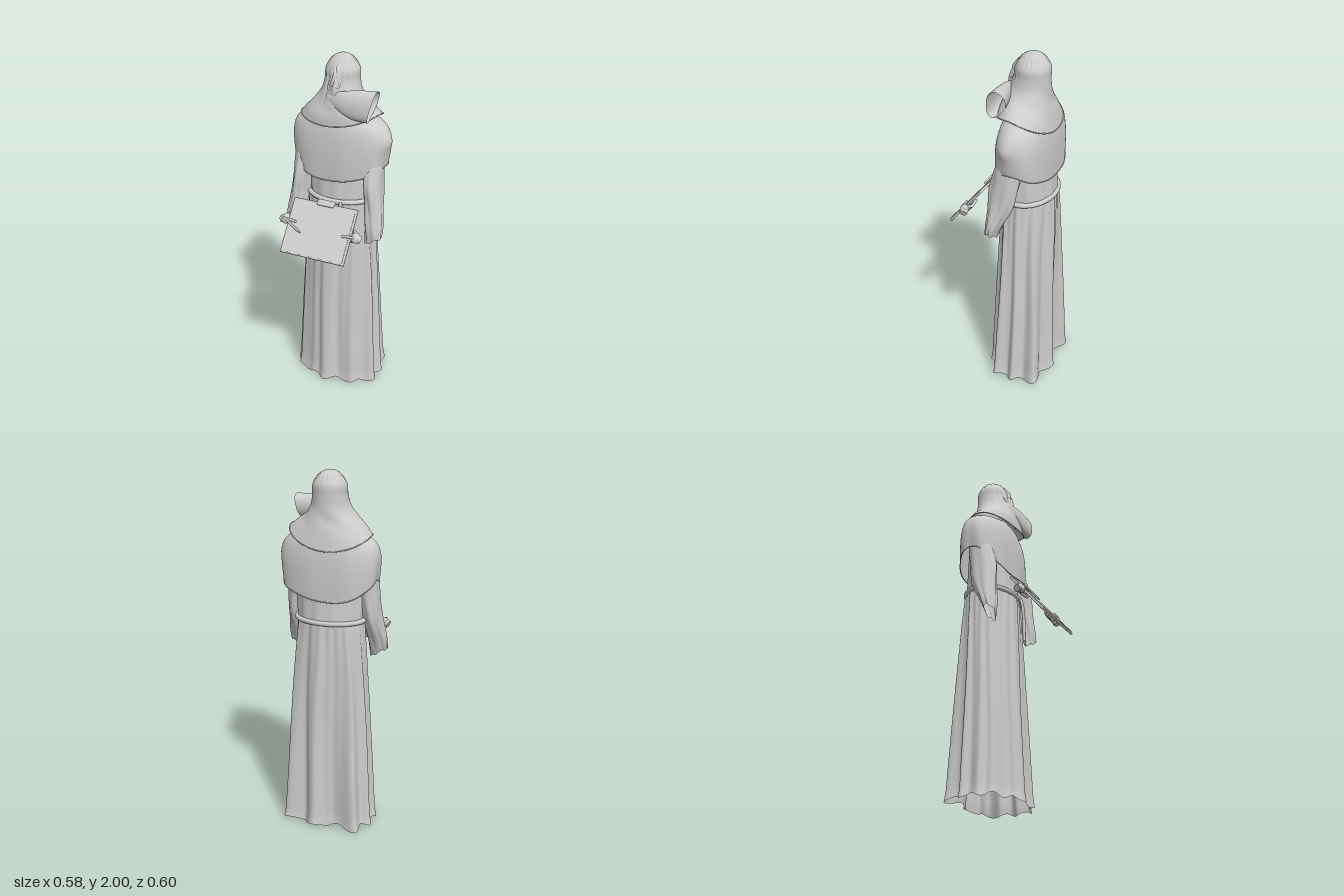
import * as THREE from 'three';
import { RoundedBoxGeometry } from 'three/addons/geometries/RoundedBoxGeometry.js';

const grey = new THREE.MeshStandardMaterial({ color: 0xcccccc, side: THREE.DoubleSide });
grey.name = 'plain grey';

const bump = (x, c, w) => Math.exp(-(((x - c) / w) ** 2));
const wrap = (a) => Math.atan2(Math.sin(a), Math.cos(a));

function add(parent, name, geometry) {
  const mesh = new THREE.Mesh(geometry, grey);
  mesh.name = name;
  parent.add(mesh);
  return mesh;
}

// Superellipse direction: n = 2 is round, larger is boxier
function oval(a, n) {
  const s = Math.sin(a), c = Math.cos(a);
  const k = (Math.abs(s) ** n + Math.abs(c) ** n) ** (-1 / n);
  return [s * k, c * k];
}

// Smooth skin of closed rings; point(a, v) gives [x, y, z], a = 0 at the front, v rising 0..1
function loft(rows, segs, point) {
  const pos = [], idx = [];
  for (let i = 0; i <= rows; i++)
    for (let j = 0; j < segs; j++) {
      pos.push(...point((j / segs) * Math.PI * 2, i / rows));
      if (i === rows) continue;
      const a = i * segs + j, b = i * segs + ((j + 1) % segs);
      idx.push(a, b, b + segs, a, b + segs, a + segs);
    }
  const g = new THREE.BufferGeometry();
  g.setAttribute('position', new THREE.Float32BufferAttribute(pos, 3));
  g.setIndex(idx);
  g.computeVertexNormals();
  return g;
}

// Cubic blend through a list of cross-sections
function sections(list) {
  const n = list.length - 1, size = list[0].length;
  const curve = new THREE.CubicInterpolant(list.map((_, i) => i / n), list.flat(), size);
  return (v) => [...curve.evaluate(v)];
}

function tube(points, radius, segs = 32, closed = false) {
  const path = new THREE.CatmullRomCurve3(points.map((p) => new THREE.Vector3(...p)), closed);
  return new THREE.TubeGeometry(path, segs, radius, 10, closed);
}

// Closed cord following point(a)
const cord = (point, radius) =>
  tube(Array.from({ length: 48 }, (_, i) => point((i / 48) * Math.PI * 2)), radius, 144, true);

// Rounded rod between two points
function rod(parent, name, from, to, radius, geometry) {
  const a = new THREE.Vector3(...from), b = new THREE.Vector3(...to), d = b.clone().sub(a);
  const mesh = add(parent, name, geometry || new THREE.CapsuleGeometry(radius, d.length(), 5, 10));
  mesh.position.copy(a).add(b).multiplyScalar(0.5);
  mesh.quaternion.setFromUnitVectors(new THREE.Vector3(0, 1, 0), d.normalize());
  return mesh;
}

function addRobe(root) {
  // Skirt pleats as [angle, height at the hem], fading toward the waist
  const pleats = [
    [-2.37, 0.085], [-1.85, 0.055], [-1.38, 0.05], [-0.98, 0.045], [-0.55, 0.022], [-0.1, 0.04],
    [0.6, 0.035], [1.18, 0.06], [1.75, 0.05], [2.33, 0.088], [2.98, 0.055],
  ];
  add(root, 'skirt', loft(40, 264, (a, v) => {
    const w = 1 - v, turn = a + 0.06 * Math.sin(5 * v + 2 * a) * v;
    const [s, c] = oval(a, 2 + 0.3 * w);
    let out = 0.0025 * Math.sin(23 * turn) * (1 - 0.4 * w);
    for (const [angle, height] of pleats) out += height * (0.1 + 0.9 * w ** 0.8) * bump(wrap(turn - angle), 0, 0.21);
    out += 0.006 * bump(v, 0, 0.03);
    return [s * (0.181 + 0.027 * w) + Math.sin(a) * out + 0.005 * w, 1.2 * v + 0.01 * (1 + Math.sin(11 * a)) * bump(v, 0, 0.02),
      -0.112 + 0.017 * w + c * (0.138 + 0.01 * w) + Math.cos(a) * out];
  }));

  // Torso with faint vertical creases
  const body = sections([[1.18, 0.181, 0.138], [1.28, 0.188, 0.13], [1.42, 0.19, 0.122], [1.56, 0.18, 0.11], [1.66, 0.12, 0.09]]);
  add(root, 'torso', loft(16, 96, (a, v) => {
    const [y, rx, rz] = body(v), r = 1 + 0.018 * (1 - v) * Math.sin(13 * a);
    return [Math.sin(a) * rx * r, y, -0.115 + Math.cos(a) * rz * r];
  }));

  // Rope belt and its hanging end
  add(root, 'belt', cord((a) => [Math.sin(a) * 0.19, 1.205, -0.112 + Math.cos(a) * 0.141], 0.014));
  add(root, 'beltEnd', tube([[0.055, 1.21, 0.032], [0.058, 1.17, 0.046], [0.06, 1.08, 0.054], [0.062, 0.935, 0.056]], 0.009));
}

function addSleeves(root) {
  const arm = sections([
    [1.0, 0.242, 0.005, 0.047, 0.028], [1.08, 0.235, -0.013, 0.05, 0.046], [1.2, 0.22, -0.045, 0.05, 0.07],
    [1.32, 0.208, -0.062, 0.052, 0.08], [1.45, 0.2, -0.085, 0.052, 0.07], [1.58, 0.185, -0.11, 0.045, 0.055],
  ]);
  for (const side of [-1, 1])
    add(root, side > 0 ? 'leftSleeve' : 'rightSleeve', loft(36, 96, (a, v) => {
      const [y, cx, cz, rx, rz] = arm(v), w = (1 - v) ** 0.9, t = a * side;
      const pleat = 0.16 * w * (Math.abs(Math.sin(3.5 * t + 0.6)) - 0.55);
      const r = 1 + pleat + 0.035 * Math.sin(3 * t + 14 * v);
      const hem = (0.028 * Math.sin(t) + 0.006 * Math.sin(5 * t)) * bump(v, 0, 0.2);
      return [side * cx + Math.sin(a) * rx * r, y + hem, cz + Math.cos(a) * rz * r];
    }));
}

function addCape(root) {
  // Shoulder cape: hem drops at the front and back and lifts over the arms
  const cape = sections([
    [0, 0.264, 0.14], [0.25, 0.274, 0.142], [0.5, 0.277, 0.14], [0.72, 0.257, 0.132], [0.88, 0.2, 0.118], [1, 0.1, 0.09],
  ]);
  const point = (a, v) => {
    const [t, rx, rz] = cape(v), [s, c] = oval(a, 2.55 - 0.5 * t);
    const hem = 1.325 + 0.1 * Math.abs(Math.sin(a)) ** 2.5 + 0.008 * Math.sin(3 * a);
    const y = hem + (1.7 - hem) * t;
    const r = 1 + 0.01 * (1 - t) * Math.sin(9 * a) + 0.05 * bump(wrap(a - 1.35), 0, 0.35) * bump(y, 1.56, 0.05);
    return [s * rx * r, y, -0.114 + c * rz * r];
  };
  add(root, 'shoulderCape', loft(32, 144, point));
  add(root, 'capeHem', cord((a) => point(a, 0), 0.003));
}

function addHood(root) {
  // Hood: shoulder mantle narrowing to the neck, then the gathered crown
  const hood = sections([
    [1.63, 0.226, 0.147, -0.107], [1.69, 0.192, 0.138, -0.101], [1.75, 0.142, 0.121, -0.1], [1.81, 0.106, 0.106, -0.107],
    [1.87, 0.094, 0.094, -0.117], [1.925, 0.09, 0.09, -0.12], [1.97, 0.062, 0.064, -0.12], [1.992, 0.034, 0.034, -0.12], [2.0, 0.001, 0.001, -0.12],
  ]);
  const point = (a, v) => {
    const [y0, rx, rz, cz] = hood(v), [s, c] = oval(a, 2 + 0.25 * (1 - v) ** 3);
    const front = wrap(a), sin = Math.sin(a), cos = Math.cos(a);
    const y = y0 + (1 - v) ** 5 * (0.02 * sin + 0.055 * sin * sin + cos * (cos > 0 ? 0.016 : 0.035));
    const crown = 0.03 * bump(y, 1.97, 0.025) * Math.sin(21 * a + Math.sin(3 * a));
    const drape = 0.02 * bump(y, 1.75, 0.05) * Math.sin(5 * a + 40 * y);
    const pinch = 0.3 * bump(front, 0, 0.25) * bump(y, 1.86, 0.06);
    const crease = 0.05 * bump(front, 0, 0.8) * bump(y, 1.87, 0.07) * Math.sin(16 * a);
    const r = 1 + crown + drape + pinch + crease;
    return [s * rx * r, y, cz + c * rz * r];
  };
  add(root, 'hood', loft(56, 144, point));
  add(root, 'hoodHem', cord((a) => point(a, 0), 0.003));

  // Crumpled gathers down the front of the face
  for (const [x, y, bend] of [[-0.01, 1.905, 0.01], [0.012, 1.895, -0.01], [0, 1.86, 0.015], [-0.02, 1.85, -0.008]])
    add(root, 'faceGather', tube([[x, y + 0.035, -0.042], [x + bend, y, -0.016], [x - bend * 0.4, y - 0.05, -0.004]], 0.013, 16));

  // Collar folded out into an open funnel over the left shoulder
  const funnel = sections([
    [-0.04, 1.785, -0.005, 0.025, 0.014], [0.04, 1.778, 0.002, 0.055, 0.03], [0.12, 1.774, -0.004, 0.075, 0.042], [0.216, 1.774, -0.014, 0.08, 0.054],
  ]);
  add(root, 'hoodFlap', loft(24, 64, (a, v) => {
    const [x, y, z, ry, rz] = funnel(v), s = Math.sin(a), c = Math.cos(a);
    const r = 1 + 0.07 * v * Math.sin(3 * a + 1);
    return [x + v * v * 0.018 * s, y + s * ry * r, z - c * rz * r - 0.02 * v * s];
  }));
}

function addClipboard(root) {
  const board = new THREE.Group();
  board.name = 'clipboard';
  board.position.set(0, 1.1, 0.196);
  board.rotation.x = -0.685;
  root.add(board);
  add(board, 'board', new RoundedBoxGeometry(0.378, 0.312, 0.014, 2, 0.005));
  add(board, 'paper', new THREE.BoxGeometry(0.354, 0.285, 0.004)).position.set(0, -0.006, 0.008);
  add(board, 'clip', new RoundedBoxGeometry(0.1, 0.036, 0.028, 3, 0.01)).position.set(0, 0.155, 0.004);

  // Hands grip the edges: thumb in front, four fingers behind
  for (const [side, y] of [[-1, 0.032], [1, 0.008]]) {
    const hand = new THREE.Group();
    hand.name = side > 0 ? 'leftHand' : 'rightHand';
    hand.position.y = y;
    board.add(hand);
    const palm = add(hand, 'palm', new THREE.SphereGeometry(0.03, 20, 14));
    palm.position.set(side * 0.21, 0, -0.006);
    palm.scale.set(0.85, 1, 0.75);
    rod(hand, 'wrist', [side * 0.212, 0, -0.008], [side * 0.232, -0.004, -0.016], 0.02,
      new THREE.CylinderGeometry(0.021, 0.024, 0.034, 18));
    rod(hand, 'thumb', [side * 0.205, -0.004, 0.011], [side * 0.145, -0.009, 0.013], 0.007);
    for (let i = 0; i < 4; i++) {
      const fy = 0.036 - i * 0.019;
      rod(hand, 'finger', [side * 0.203, fy * 0.7, -0.012], [side * 0.19, fy, -0.024], 0.0085);
      rod(hand, 'fingertip', [side * 0.19, fy, -0.024], [side * 0.135, fy, -0.017], 0.008);
    }
  }

  // Pen held in the right hand
  rod(board, 'pen', [-0.216, 0.032, 0.021], [-0.112, -0.025, 0.019], 0.006, new THREE.CylinderGeometry(0.006, 0.006, 0.119, 12));
  rod(board, 'penTip', [-0.112, -0.025, 0.019], [-0.094, -0.035, 0.018], 0.006, new THREE.CylinderGeometry(0.001, 0.006, 0.021, 12));
}

export function createModel() {
  const root = new THREE.Group();
  root.name = 'robedFigure';
  addRobe(root);
  addSleeves(root);
  addCape(root);
  addHood(root);
  addClipboard(root);
  return root;
}
